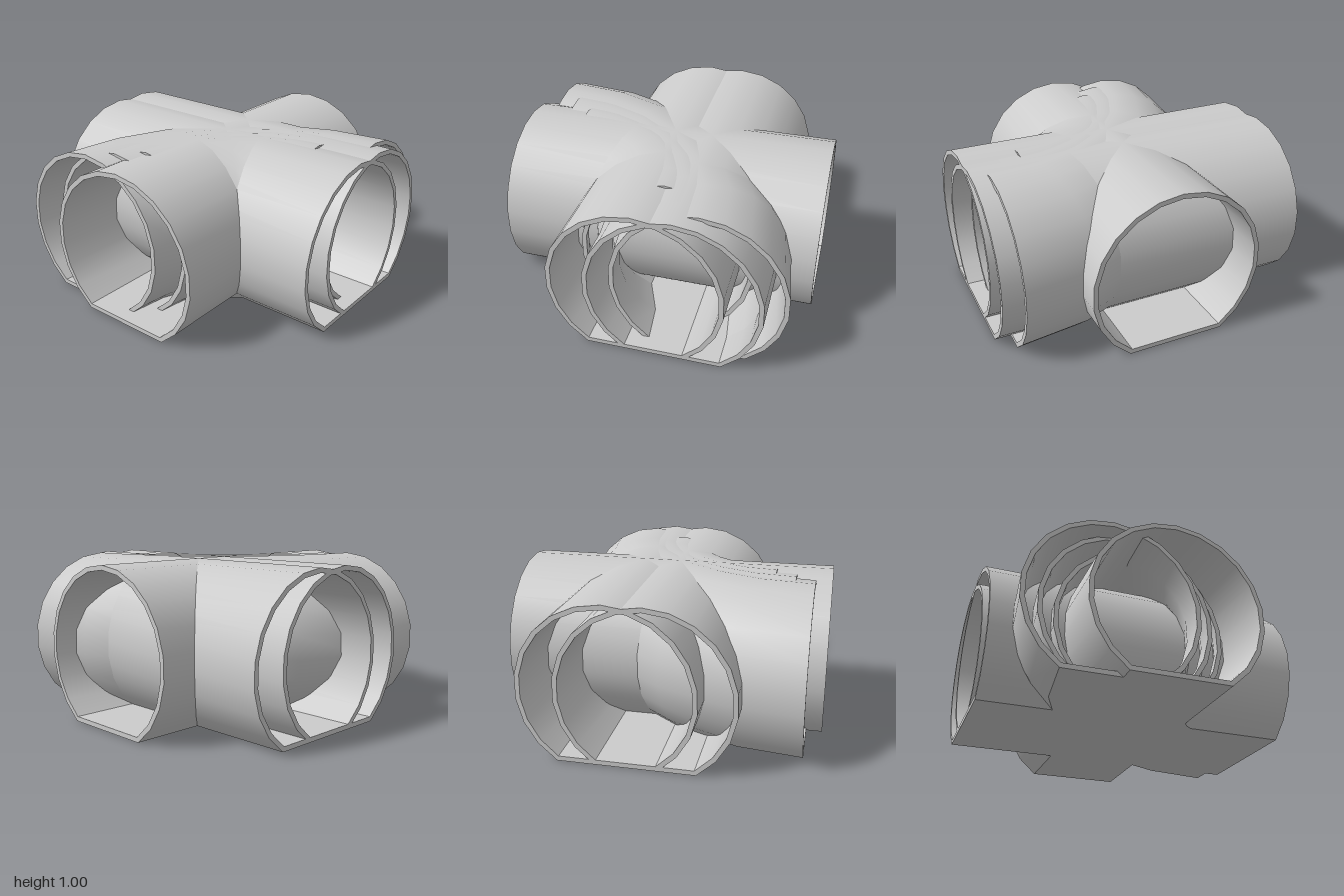
import * as THREE from 'three';
import { toCreasedNormals } from 'three/addons/utils/BufferGeometryUtils.js';

const RADIUS = 0.547, CENTRE_Y = 0.453, WALL = 0.03, SIDES = 18;

// Round bore cut off by a flat floor, counter-clockwise from the floor's right corner.
function boreSection(radius, floorY) {
  const start = -Math.asin((CENTRE_Y - floorY) / radius);
  const sweep = Math.PI - 2 * start;
  const points = [];
  for (let i = 0; i <= SIDES; i++) {
    const a = start + (sweep * i) / SIDES;
    points.push([Math.cos(a) * radius, CENTRE_Y + Math.sin(a) * radius]);
  }
  return points;
}

const outer = boreSection(RADIUS, 0);
const inner = boreSection(RADIUS - WALL, WALL);

// Sweeps the hollow section along path stations { x, z, tx, tz } (position, direction).
function tunnelGeometry(path) {
  const positions = [];
  const place = (s, [u, v]) => [s.x + s.tz * u, v, s.z - s.tx * u];
  const quad = (a, b, c, d) => positions.push(...a, ...b, ...c, ...a, ...c, ...d);
  const n = outer.length;
  const first = path[0], last = path[path.length - 1];

  for (let j = 0; j < n; j++) {
    const k = (j + 1) % n;
    for (let i = 0; i < path.length - 1; i++) {
      const s = path[i], e = path[i + 1];
      quad(place(s, outer[j]), place(s, outer[k]), place(e, outer[k]), place(e, outer[j]));
      quad(place(s, inner[k]), place(s, inner[j]), place(e, inner[j]), place(e, inner[k]));
    }
    // Rims at both mouths
    quad(place(last, outer[j]), place(last, outer[k]), place(last, inner[k]), place(last, inner[j]));
    quad(place(first, outer[k]), place(first, outer[j]), place(first, inner[j]), place(first, inner[k]));
  }

  const geometry = new THREE.BufferGeometry();
  geometry.setAttribute('position', new THREE.Float32BufferAttribute(positions, 3));
  return toCreasedNormals(geometry, 0.6);
}

// Quarter turn from the front mouth (z = end) to the side mouth (x = end).
function curvePath(end, offset, steps = 6) {
  const radius = end + offset;
  return Array.from({ length: steps + 1 }, (_, i) => {
    const a = (i / steps) * Math.PI / 2;
    const c = Math.cos(a), s = Math.sin(a);
    return { x: end - radius * c, z: end - radius * s, tx: s, tz: -c };
  });
}

export function createModel() {
  const group = new THREE.Group();
  const material = new THREE.MeshStandardMaterial({ color: 0xcccccc, side: THREE.DoubleSide });
  const add = (name, path) => {
    const mesh = new THREE.Mesh(tunnelGeometry(path), material);
    mesh.name = name;
    group.add(mesh);
  };

  // Straight bore running front to back
  add('lengthwiseTunnel', [-1, 1].map((z) => ({ x: 0, z, tx: 0, tz: 1 })));

  // Two overlapping parallel bores running side to side
  for (const [name, z] of [['crossTunnel', 0], ['crossTunnelRear', -0.23]]) {
    add(name, [-1, 1].map((x) => ({ x, z, tx: 1, tz: 0 })));
  }

  // Curved bores nested inside one another, linking the front and side mouths
  add('curvedTunnelWide', curvePath(0.9, 0.36));
  add('curvedTunnelMiddle', curvePath(0.78, 0.23));
  add('curvedTunnelTight', curvePath(0.65, 0.1));

  return group;
}
